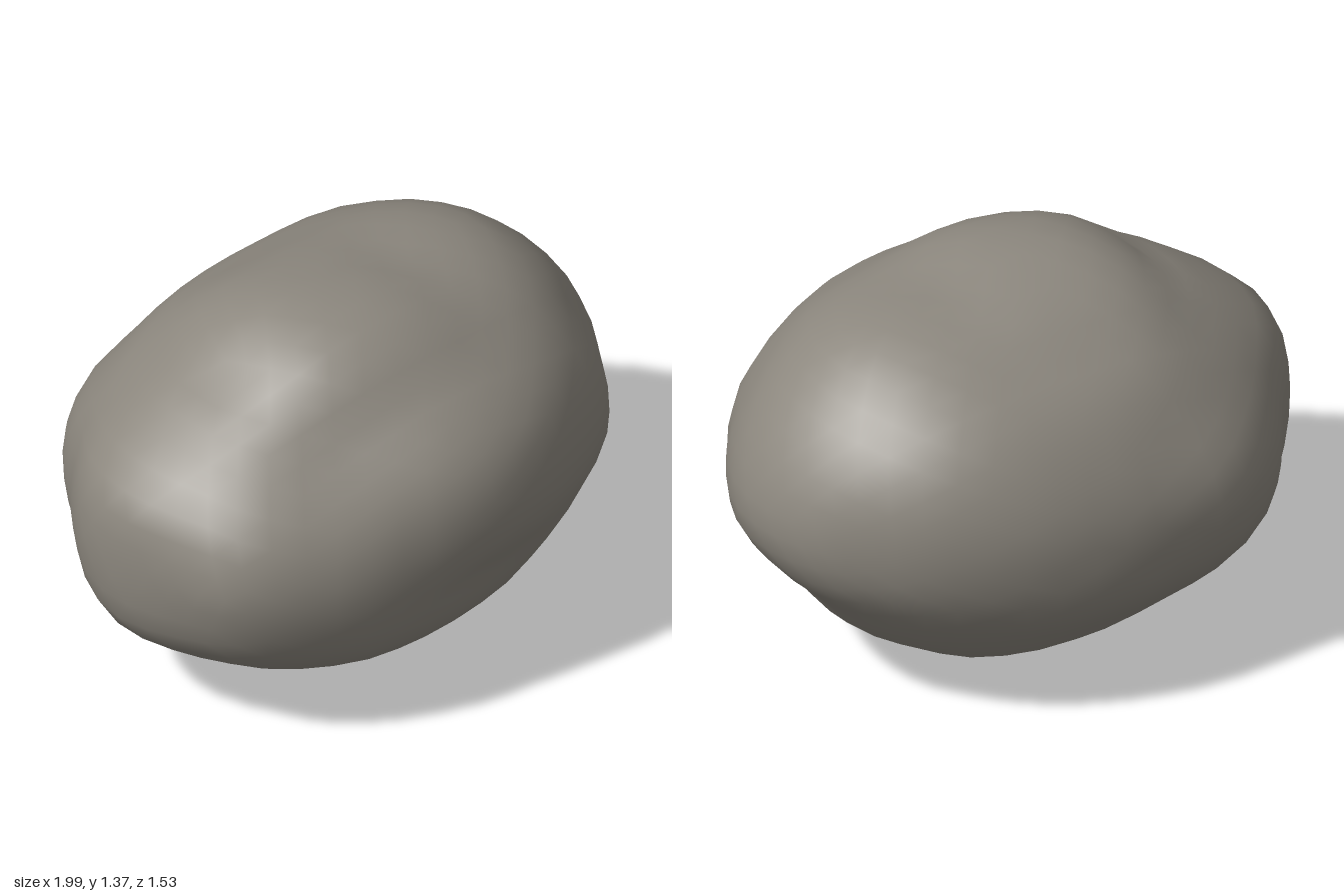
import * as THREE from 'three';
import { mergeVertices } from 'three/addons/utils/BufferGeometryUtils.js';

// Half sizes of the base ellipsoid and the height of its centre
const A = 1, B = 0.685, C = 0.77, CY = 0.7;

// Outlines of the boulder in the three main planes
const frontOutline = [ // x, y
  1, .7, .98, .6, .8, .4, .67, .235, .5, .13, .33, .03, .21, -.005, 0, .03, -.16, .1, -.4, .13,
  -.6, .16, -.8, .26, -.92, .35, -.98, .45, -1, .6, -1, .72, -.98, .9, -.92, .98, -.8, 1.05,
  -.54, 1.2, -.33, 1.35, -.2, 1.38, -.06, 1.37, .2, 1.31, .44, 1.31, .6, 1.27, .73, 1.18,
  .9, .99, .97, .85];
const sideOutline = [ // z, y
  .775, .8, .75, .62, .69, .52, .63, .35, .57, .26, .48, .19, .13, .03, 0, .005, -.12, .02,
  -.33, .08, -.44, .14, -.6, .28, -.73, .42, -.775, .52, -.77, .6, -.74, .77, -.66, .96,
  -.55, 1.1, -.4, 1.2, -.3, 1.27, -.05, 1.35, .13, 1.38, .24, 1.37, .35, 1.33, .5, 1.2,
  .69, 1.04, .74, .96];
const topOutline = [ // x, z
  1, 0, .98, -.14, .89, -.34, .8, -.44, .63, -.6, .48, -.68, .3, -.745, .08, -.77, -.1, -.77,
  -.25, -.755, -.4, -.755, -.54, -.71, -.66, -.62, -.81, -.4, -.91, -.28, -.98, -.16, -1, 0,
  -.98, .1, -.94, .3, -.9, .43, -.8, .53, -.58, .64, -.44, .69, -.32, .695, -.1, .74,
  .07, .775, .22, .755, .5, .65, .63, .59, .76, .5, .84, .37, .93, .22];

// Returns a function giving how far an outline lies outside the ellipse at any angle
function outlineRatio(flat, offset, p, q) {
  const pts = [];
  for (let i = 0; i < flat.length; i += 2) {
    const u = flat[i] / p, v = (flat[i + 1] - offset) / q;
    pts.push({ a: Math.atan2(v, u), k: Math.hypot(u, v) });
  }
  pts.sort((m, n) => m.a - n.a);
  const first = pts[0], last = pts[pts.length - 1], turn = Math.PI * 2;
  pts.unshift({ a: last.a - turn, k: last.k });
  pts.push({ a: first.a + turn, k: first.k });
  return (u, v) => {
    const a = Math.atan2(v, u);
    let i = 1;
    while (i < pts.length - 1 && pts[i].a < a) i++;
    const m = pts[i - 1], n = pts[i];
    return THREE.MathUtils.lerp(m.k, n.k, (a - m.a) / (n.a - m.a || 1));
  };
}

// Soft hollows and swellings: direction, strength, width
const dents = [
  { dir: [.12, -.35, .9], amount: -.03, width: .3 },    // lower front hollow
  { dir: [.88, -.38, .12], amount: -.02, width: .28 },  // hollow at the left end
  { dir: [.6, .35, .6], amount: -.02, width: .35 },     // flattened front shoulder
  { dir: [-.45, .5, .65], amount: -.09, width: .36 },   // sloping upper front
  { dir: [-.35, -.5, .75], amount: .05, width: .32 },   // lower front swelling
  { dir: [-.5, -.8, .15], amount: -.03, width: .3 },    // hollow underneath
  { dir: [.6, .5, -.6], amount: .04, width: .4 },       // full upper back
  { dir: [-.5, .35, -.78], amount: -.05, width: .33 },  // sloping back corner
  { dir: [.3, .85, .4], amount: -.03, width: .3 },      // saddle on top
].map(d => ({ ...d, dir: new THREE.Vector3(...d.dir).normalize() }));

export function createModel() {
  const group = new THREE.Group();
  group.name = 'boulder';

  const ratioFront = outlineRatio(frontOutline, CY, A, B);
  const ratioSide = outlineRatio(sideOutline, CY, C, B);
  const ratioTop = outlineRatio(topOutline, 0, A, C);

  // Welded icosphere, so that normals come out smooth
  let geo = new THREE.IcosahedronGeometry(1, 8);
  geo.deleteAttribute('normal');
  geo.deleteAttribute('uv');
  geo = mergeVertices(geo, 1e-4);

  // Each direction takes its radius from the outlines of the nearest planes
  const pos = geo.attributes.position, d = new THREE.Vector3();
  const weight = n => 1 / (n * n + 0.02);
  for (let i = 0; i < pos.count; i++) {
    d.fromBufferAttribute(pos, i).normalize();
    const wx = weight(d.x), wy = weight(d.y), wz = weight(d.z);
    let k = (wz * ratioFront(d.x, d.y) + wx * ratioSide(d.z, d.y) + wy * ratioTop(d.x, d.z)) / (wx + wy + wz);
    for (const t of dents) k += t.amount * Math.exp(-d.distanceToSquared(t.dir) / (t.width * t.width));
    pos.setXYZ(i, d.x * A * k, CY + d.y * B * k, d.z * C * k);
  }

  // Rest exactly on the ground
  geo.computeBoundingBox();
  geo.translate(0, -geo.boundingBox.min.y, 0);
  geo.computeVertexNormals();

  const rock = new THREE.Mesh(geo, new THREE.MeshStandardMaterial({ color: 0x8c877e }));
  rock.name = 'rock';
  group.add(rock);
  return group;
}
